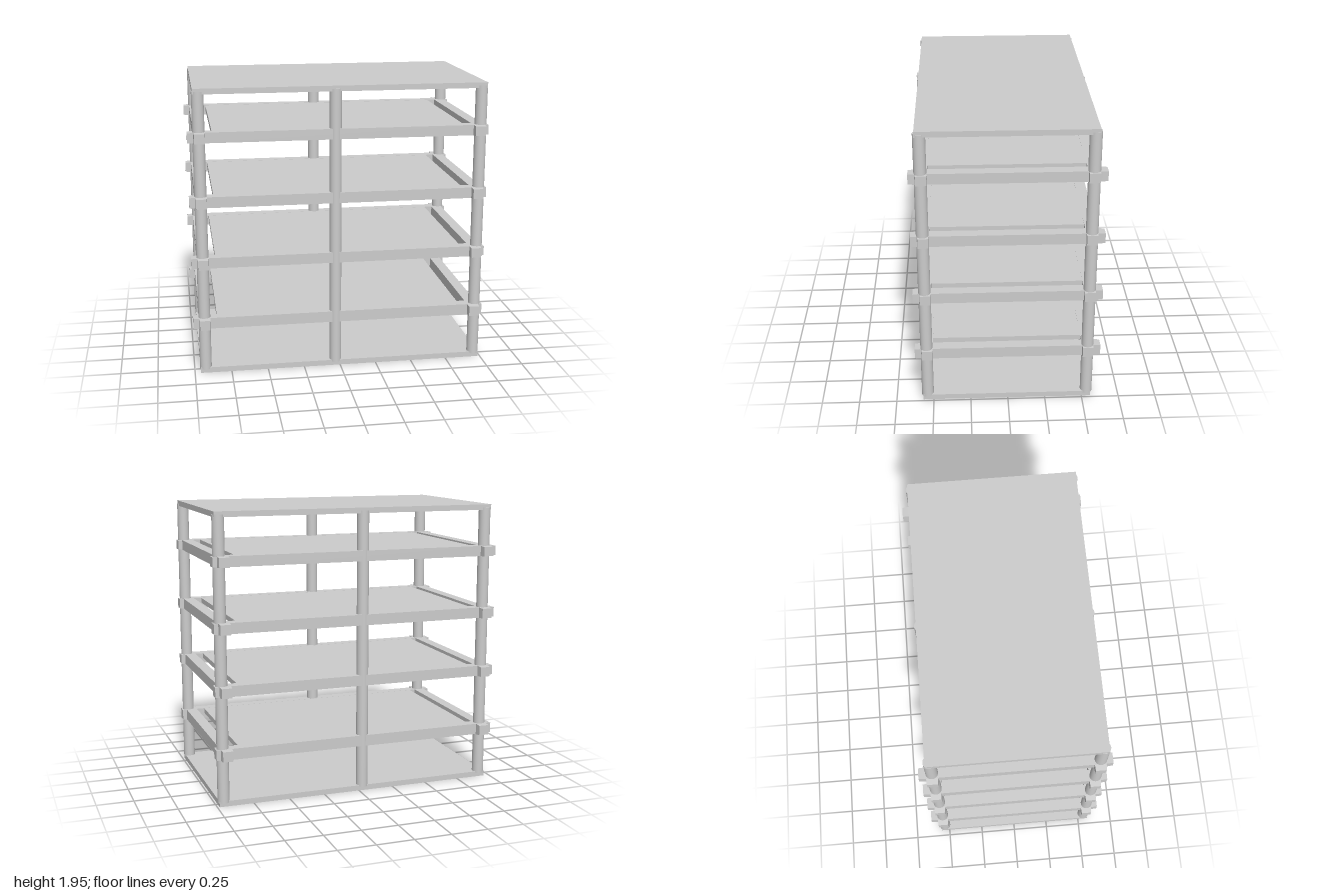
import * as THREE from 'three';

const material = new THREE.MeshStandardMaterial({ color: 0xcccccc, flatShading: true });
const smooth = new THREE.MeshStandardMaterial({ color: 0xcccccc });

// Box given by its lower and upper corners
function slab(name, x0, x1, y0, y1, z0, z1) {
  const mesh = new THREE.Mesh(new THREE.BoxGeometry(x1 - x0, y1 - y0, z1 - z0), material);
  mesh.position.set((x0 + x1) / 2, (y0 + y1) / 2, (z0 + z1) / 2);
  mesh.name = name;
  return mesh;
}

// Square beam along z whose two ends taper slightly
function beam(name, length, height) {
  const width = 0.075, taper = 0.04;
  const geometry = new THREE.BoxGeometry(width, height, length, 1, 1, 3);
  const p = geometry.attributes.position;
  for (let i = 0; i < p.count; i++) {
    const z = p.getZ(i);
    if (Math.abs(z) > length * 0.4) {
      p.setX(i, p.getX(i) * 0.92);
      p.setY(i, p.getY(i) * 0.92);
    } else {
      p.setZ(i, Math.sign(z) * (length / 2 - taper));
    }
  }
  geometry.computeVertexNormals();
  const mesh = new THREE.Mesh(geometry, material);
  mesh.name = name;
  return mesh;
}

export function createModel() {
  const model = new THREE.Group();
  model.name = 'shelfFrame';

  // Base and roof slabs
  model.add(slab('baseSlab', -0.96, 0.985, 0, 0.037, -0.56, 0.57));
  model.add(slab('roofSlab', -0.96, 0.985, 1.908, 1.945, -0.56, 0.57));

  // Three round posts along the front and the back
  const postGeometry = new THREE.CylinderGeometry(0.04, 0.04, 1.9, 32);
  for (const x of [-0.925, -0.03, 0.952]) {
    for (const z of [0.54, -0.532]) {
      const post = new THREE.Mesh(postGeometry, smooth);
      post.position.set(x, 0.975, z);
      post.name = 'post';
      model.add(post);
    }
  }

  // Four levels: a ring of crossing beams carrying a floor with open side gaps
  for (const [bottom, top] of [[0.32, 0.395], [0.745, 0.817], [1.16, 1.233], [1.592, 1.662]]) {
    const level = new THREE.Group();
    level.name = 'level';
    const y = (bottom + top) / 2, height = top - bottom;
    for (const z of [0.535, -0.532]) {
      const long = beam('longBeam', 2, height);
      long.rotation.y = Math.PI / 2;
      long.position.set(0, y, z);
      level.add(long);
    }
    for (const x of [-0.922, 0.934]) {
      const cross = beam('crossBeam', 1.235, height);
      cross.position.set(x, y, 0);
      level.add(cross);
    }
    level.add(slab('floor', -0.84, 0.84, top - 0.036, top - 0.001, -0.56, 0.56));
    model.add(level);
  }
  return model;
}
